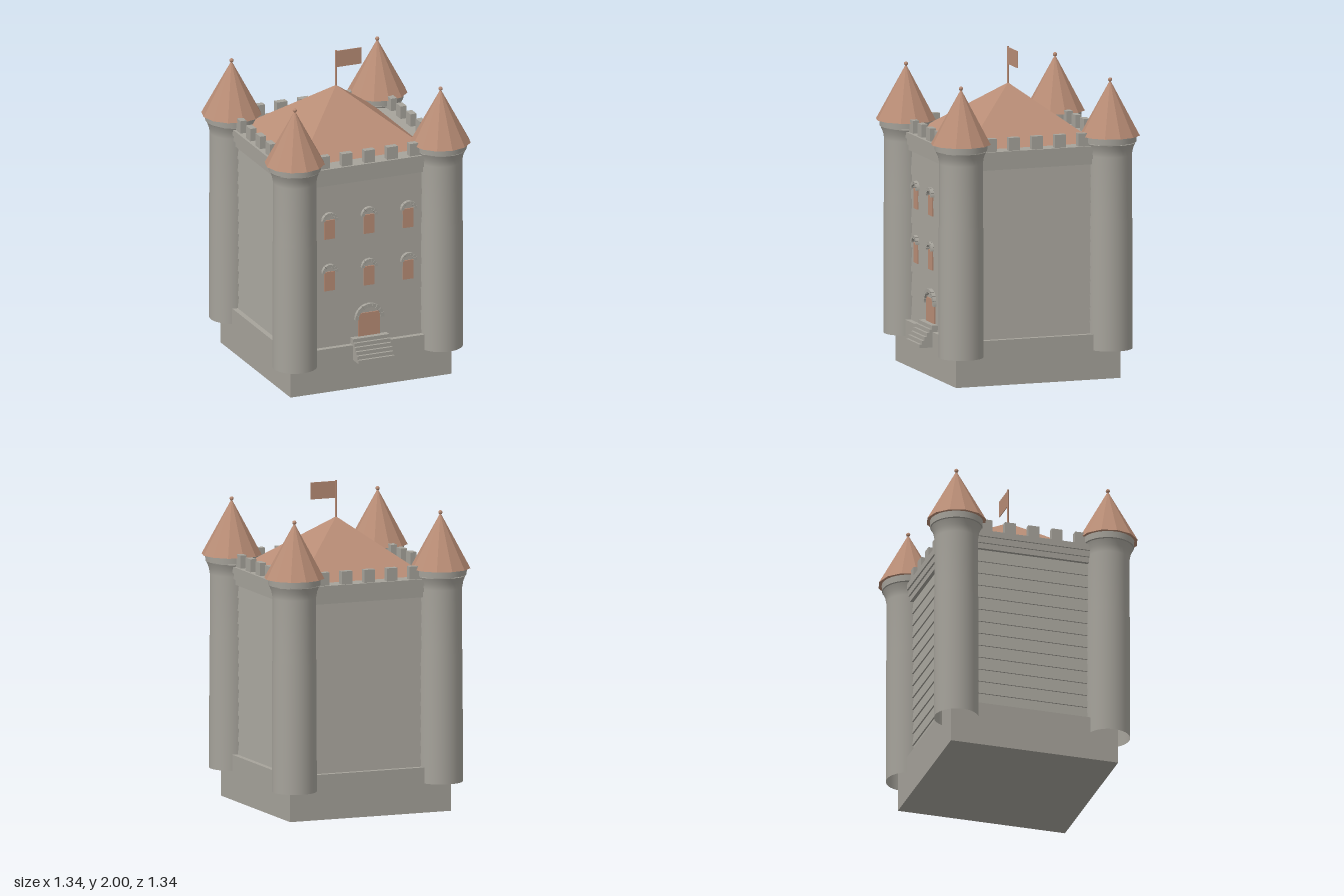
import * as THREE from 'three';

const stone = new THREE.MeshStandardMaterial({ name: 'stone', color: 0xa6a39b });
const towerStone = new THREE.MeshStandardMaterial({ name: 'towerStone', color: 0xa6a39b, side: THREE.DoubleSide });
const terracotta = new THREE.MeshStandardMaterial({ name: 'terracotta', color: 0xb98d76, flatShading: true });

function add(parent, name, geometry, material, x = 0, y = 0, z = 0) {
  const mesh = new THREE.Mesh(geometry, material);
  mesh.name = name;
  mesh.position.set(x, y, z);
  parent.add(mesh);
  return mesh;
}

// Box given by its bottom and top heights
function block(parent, name, w, y0, y1, d, material = stone, x = 0, z = 0) {
  return add(parent, name, new THREE.BoxGeometry(w, y1 - y0, d), material, x, (y0 + y1) / 2, z);
}

// Overlapping wall courses on one side, facing +z before the side is turned
function courses(parent, count) {
  const y0 = 0.28, y1 = 1.33, h = (y1 - y0) / count;
  const profile = new THREE.Shape();
  profile.moveTo(0, 0);
  profile.lineTo(0.012, 0);
  profile.lineTo(0.003, h);
  profile.lineTo(0, h);
  const geometry = new THREE.ExtrudeGeometry(profile, { depth: 0.98, bevelEnabled: false });
  geometry.rotateY(-Math.PI / 2);
  for (let i = 0; i < count; i++) {
    add(parent, 'wallCourse', geometry, stone, 0.49, y0 + i * h, 0.49);
  }
}

// Half ring of separate arch stones
function arch(parent, name, x, y, inner, outer, count, z) {
  const group = new THREE.Group();
  group.name = name;
  const step = Math.PI / count, gap = step * 0.04;
  for (let i = 0; i < count; i++) {
    const a = i * step + gap, b = (i + 1) * step - gap;
    const shape = new THREE.Shape();
    shape.absarc(0, 0, outer, a, b, false);
    shape.absarc(0, 0, inner, b, a, true);
    const geometry = new THREE.ExtrudeGeometry(shape, { depth: 0.03, bevelEnabled: false, curveSegments: 2 });
    add(group, 'archStone', geometry, stone);
  }
  group.position.set(x, y, z);
  parent.add(group);
}

function tower(parent, x, z) {
  const group = new THREE.Group();
  group.name = 'cornerTower';
  // Hollow shaft with a flared top
  const shaft = [[0.137, 0.18], [0.136, 0.98], [0.133, 1.0], [0.133, 1.38], [0.14, 1.42], [0.155, 1.455]];
  add(group, 'towerShaft', new THREE.LatheGeometry(shaft.map(p => new THREE.Vector2(...p)), 32), towerStone);
  add(group, 'towerRing', new THREE.CylinderGeometry(0.162, 0.16, 0.04, 32), stone, 0, 1.48, 0);
  add(group, 'towerRoof', new THREE.ConeGeometry(0.185, 0.34, 12), terracotta, 0, 1.67, 0);
  add(group, 'towerFinial', new THREE.SphereGeometry(0.013, 10, 8), terracotta, 0, 1.843, 0);
  group.position.set(x, 0, z);
  parent.add(group);
}

export function createModel() {
  const model = new THREE.Group();
  model.name = 'castle';

  // Base, wall core and stepped cornice
  block(model, 'base', 1.07, 0, 0.28, 1.07);
  block(model, 'wallCore', 0.98, 0.28, 1.33, 0.98);
  block(model, 'lowerCornice', 1.03, 1.33, 1.365, 1.03);
  block(model, 'middleCornice', 1.05, 1.365, 1.405, 1.05);
  block(model, 'walkway', 1.07, 1.405, 1.445, 1.07);

  // Four sides: courses and battlements
  for (let s = 0; s < 4; s++) {
    const side = new THREE.Group();
    side.name = 'wallSide';
    courses(side, s === 0 ? 7 : 13);
    for (let i = -2; i <= 2; i++) {
      block(side, 'merlon', 0.07, 1.445, 1.525, 0.04, stone, i * 0.15, 0.5);
    }
    side.rotation.y = s * Math.PI / 2;
    model.add(side);
  }

  // Pyramid roof
  const roof = new THREE.ConeGeometry(0.43 * Math.SQRT2, 0.335, 4);
  roof.rotateY(Math.PI / 4);
  add(model, 'mainRoof', roof, terracotta, 0, 1.6075, 0);

  // Flag
  add(model, 'flagPole', new THREE.CylinderGeometry(0.005, 0.005, 0.24, 8), terracotta, 0, 1.88, 0);
  block(model, 'flag', 0.17, 1.89, 1.995, 0.004, terracotta, 0.085, 0);

  // Corner towers
  for (const x of [-1, 1]) for (const z of [-1, 1]) tower(model, x * 0.485, z * 0.485);

  // Windows
  for (const y of [0.645, 0.98]) {
    for (const x of [-0.262, 0, 0.262]) {
      block(model, 'window', 0.07, y, y + 0.123, 0.008, terracotta, x, 0.502);
      arch(model, 'windowArch', x, y + 0.12, 0.034, 0.053, 7, 0.49);
    }
  }

  // Door, arch and stairs
  block(model, 'door', 0.144, 0.32, 0.468, 0.008, terracotta, 0, 0.503);
  arch(model, 'doorArch', 0, 0.43, 0.074, 0.097, 9, 0.49);
  const steps = 6, rise = 0.135 / steps;
  for (let i = 0; i < steps; i++) {
    const front = 0.62 - i * 0.016;
    block(model, 'step', 0.24, 0.185 + i * rise, 0.185 + (i + 1) * rise, front - 0.49, stone, 0, (front + 0.49) / 2);
  }

  return model;
}
